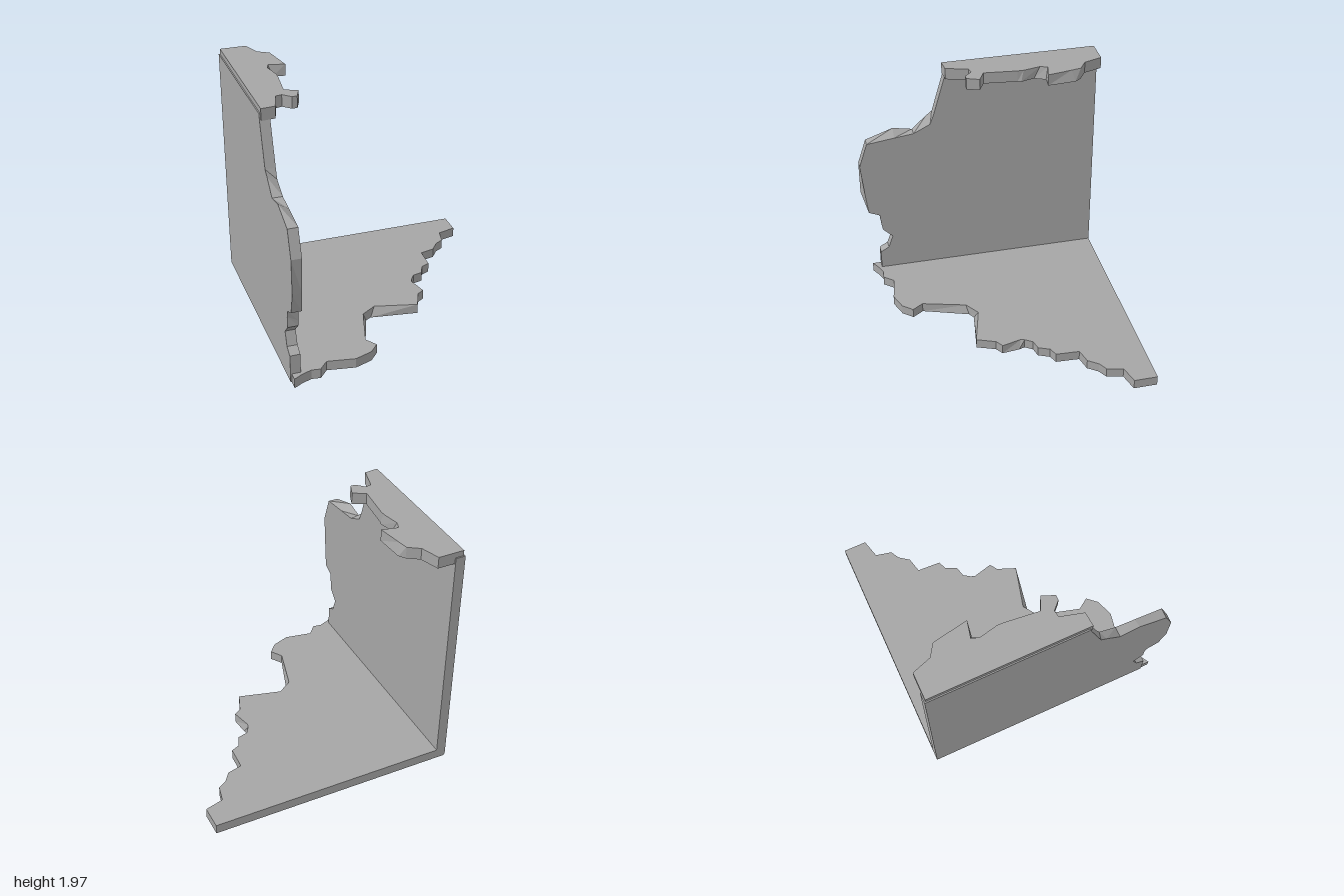
import * as THREE from 'three';

const stone = new THREE.MeshStandardMaterial({ color: 0xa6a6a6, flatShading: true });
stone.name = 'grey stone';

// Broken slab between two matching outlines. Each point is [a, b] or, where the
// fracture slopes, [a, b, a2, b2] with its own position on the far face.
function slab(name, points, lo, hi, place) {
  const near = points.map(([a, b]) => new THREE.Vector2(a, b));
  const far = points.map(([a, b, a2 = a, b2 = b]) => new THREE.Vector2(a2, b2));
  const pos = [];
  const put = (outline, i, h) => pos.push(...place(outline[i].x, outline[i].y, h));
  for (const [i, j, k] of THREE.ShapeUtils.triangulateShape(near, [])) {
    for (const n of [i, j, k]) put(near, n, lo);
  }
  for (const [i, j, k] of THREE.ShapeUtils.triangulateShape(far, [])) {
    for (const n of [i, k, j]) put(far, n, hi);
  }
  near.forEach((_, i) => {
    const j = (i + 1) % near.length;
    put(far, i, hi); put(far, j, hi); put(near, j, lo);
    put(far, i, hi); put(near, j, lo); put(near, i, lo);
  });
  const geo = new THREE.BufferGeometry();
  geo.setAttribute('position', new THREE.Float32BufferAttribute(pos, 3));
  geo.computeVertexNormals();
  const mesh = new THREE.Mesh(geo, stone);
  mesh.name = name;
  return mesh;
}

// Outlines: floor and ceiling in (x, z), wall in (z, y)
const floorOutline = [
  [-0.99, -1], [0.99, -1], [0.99, -0.81], [0.84, -0.77], [0.81, -0.64], [0.74, -0.6],
  [0.68, -0.52], [0.56, -0.49], [0.55, -0.3], [0.48, -0.27], [0.44, -0.18], [0.36, -0.16],
  [0.32, -0.1], [0.335, -0.05, 0.31, -0.07], [0.35, 0.09], [0.29, 0.13], [0.23, 0.28],
  [-0.15, 0.22, -0.11, 0.19], [-0.2, 0.25, -0.23, 0.27], [-0.33, 0.62], [-0.27, 0.71],
  [-0.34, 0.79], [-0.48, 0.84], [-0.7, 0.8], [-0.77, 0.88], [-0.84, 0.87], [-0.92, 0.9],
  [-0.99, 0.94],
];
const wallOutline = [
  [-1, 0.01], [0.87, 0.01], [0.87, 0.24], [0.8, 0.28], [0.76, 0.39], [0.84, 0.47],
  [0.84, 0.56, 0.85, 0.52], [0.86, 0.62], [0.95, 0.66], [1, 0.83, 0.97, 0.83], [1, 1.12],
  [0.93, 1.33], [0.7, 1.41, 0.7, 1.36], [0.54, 1.38], [0.42, 1.49, 0.4, 1.45],
  [0.37, 1.53], [0.27, 1.87], [0.26, 1.92], [-1, 1.92],
];
const ceilingOutline = [
  [-0.99, -0.99], [-0.78, -0.99], [-0.73, -0.84], [-0.64, -0.78],
  [-0.605, -0.73, -0.625, -0.7], [-0.59, -0.5], [-0.69, -0.51, -0.72, -0.53],
  [-0.73, -0.42, -0.74, -0.47], [-0.7, -0.31, -0.71, -0.33], [-0.71, -0.28],
  [-0.74, -0.01], [-0.64, 0.04], [-0.68, 0.14], [-0.72, 0.14], [-0.78, 0.08],
  [-0.83, 0.09], [-0.88, 0.27], [-0.99, 0.28],
];

export function createModel() {
  const model = new THREE.Group();
  model.name = 'ruinedRoomCorner';
  const lying = (x, z, y) => [x, y, z];
  const standing = (z, y, x) => [x, y, z];
  model.add(
    slab('floor', floorOutline, 0, 0.08, lying),
    slab('wall', wallOutline, -1, -0.92, standing),
    slab('ceilingFragment', ceilingOutline, 1.87, 1.965, lying),
  );
  return model;
}
